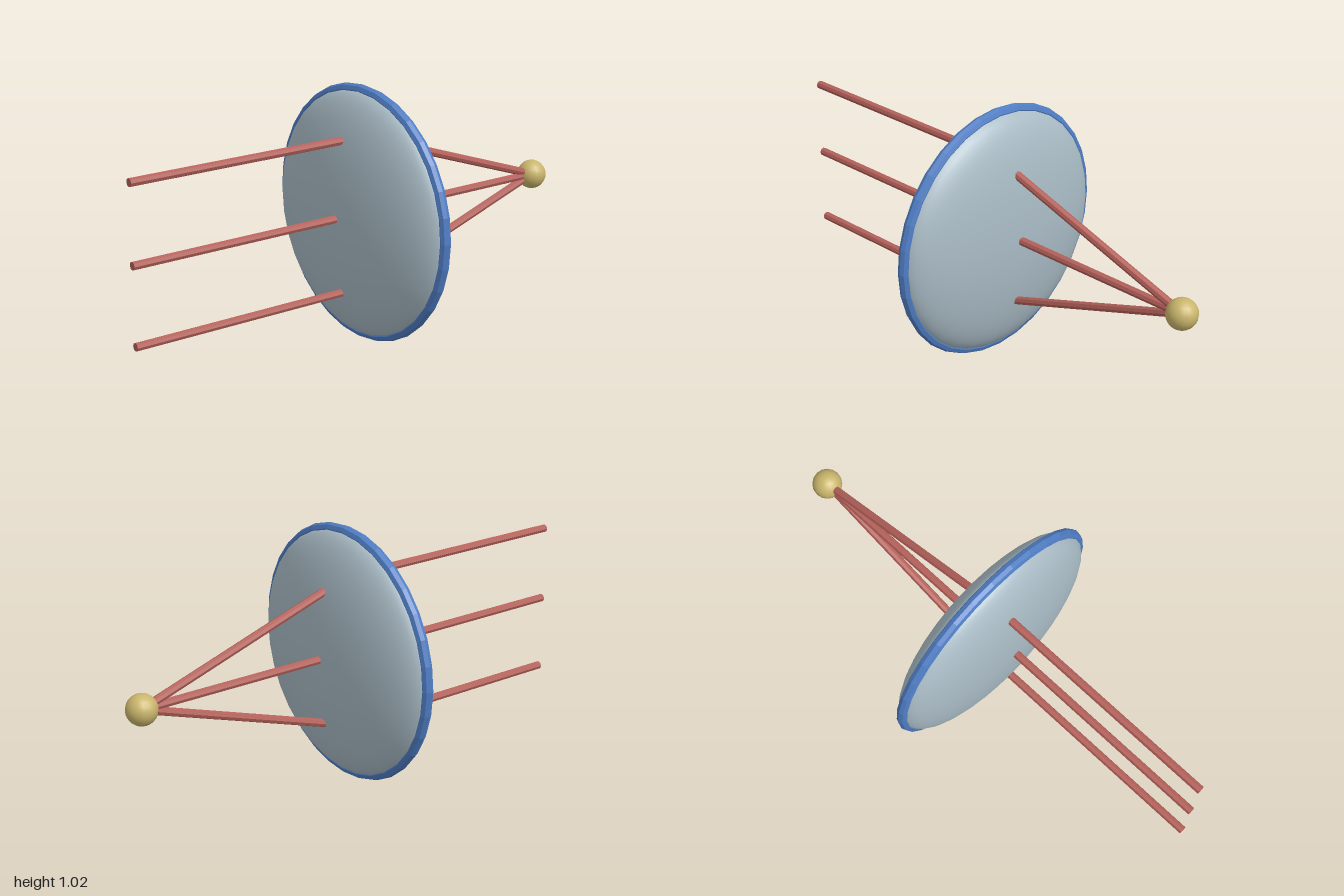
import * as THREE from 'three';

const CENTER_X = 0.03, CENTER_Y = 0.51, ROD_RADIUS = 0.0165;

function flatMaterial(name, color, flatShading = false) {
  const m = new THREE.MeshStandardMaterial({ color, flatShading });
  m.name = name;
  return m;
}

// Thin eight-sided rod between two points of the z = 0 plane
function rod(name, x1, y1, x2, y2, material) {
  const a = new THREE.Vector3(x1, y1, 0), b = new THREE.Vector3(x2, y2, 0);
  const dir = b.clone().sub(a);
  const mesh = new THREE.Mesh(new THREE.CylinderGeometry(ROD_RADIUS, ROD_RADIUS, dir.length(), 8), material);
  mesh.position.copy(a).add(b).multiplyScalar(0.5);
  mesh.quaternion.setFromUnitVectors(new THREE.Vector3(0, 1, 0), dir.normalize());
  mesh.name = name;
  return mesh;
}

export function createModel() {
  const model = new THREE.Group();
  model.name = 'convexLensWithRays';
  const glass = flatMaterial('paleGlass', 0xa9bbc5);
  const blue = flatMaterial('rimBlue', 0x4f7dc4, true);
  const red = flatMaterial('rayRed', 0xb5615a, true);
  const gold = flatMaterial('focusGold', 0xc9b56c);

  // Lens body: a sphere flattened along x
  const lensGeometry = new THREE.SphereGeometry(1, 32, 32);
  lensGeometry.rotateZ(Math.PI / 2);
  lensGeometry.scale(0.133, 0.49, 0.49);
  const lens = new THREE.Mesh(lensGeometry, glass);
  lens.position.set(CENTER_X, CENTER_Y, 0);
  lens.name = 'lens';
  model.add(lens);

  // Rim around the lens
  const rim = new THREE.Mesh(new THREE.TorusGeometry(0.488, 0.022, 8, 32), blue);
  rim.rotation.y = Math.PI / 2;
  rim.position.copy(lens.position);
  rim.name = 'rim';
  model.add(rim);

  // Parallel rays in, converging rays out to the focus
  const focusX = 0.94;
  for (const [label, offset] of [['upper', 0.305], ['middle', 0], ['lower', -0.305]]) {
    const y = CENTER_Y + offset;
    model.add(rod(label + 'IncomingRay', -1, y, CENTER_X, y, red));
    model.add(rod(label + 'RefractedRay', CENTER_X, y, focusX, CENTER_Y, red));
  }

  // Focal point
  const focus = new THREE.Mesh(new THREE.SphereGeometry(0.06, 16, 12), gold);
  focus.position.set(focusX, CENTER_Y, 0);
  focus.name = 'focalPoint';
  model.add(focus);

  return model;
}
